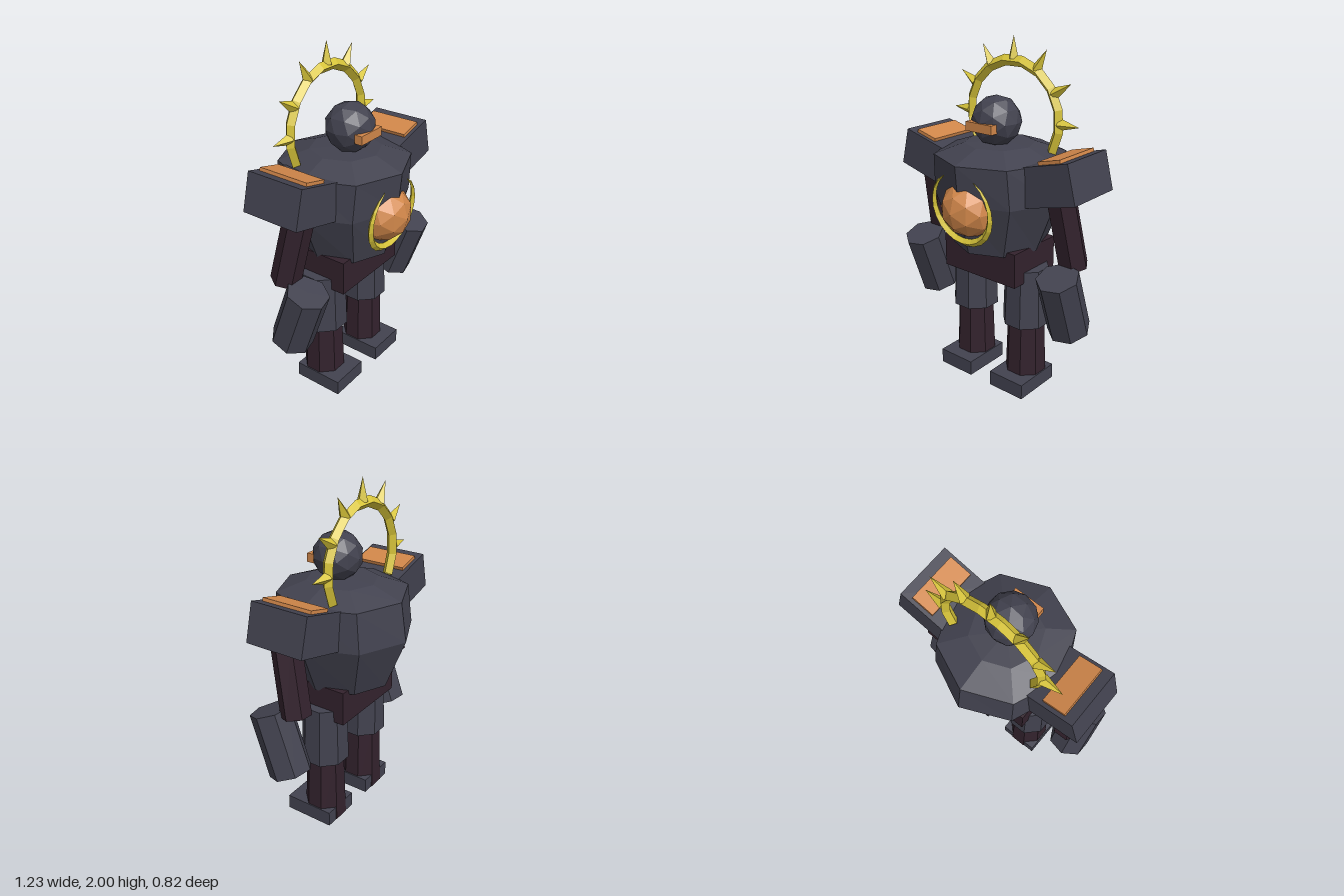
import * as THREE from 'three';

const mat = (name, color) => {
  const m = new THREE.MeshStandardMaterial({ color, flatShading: true });
  m.name = name;
  return m;
};

export function createModel() {
  const armour = mat('slate armour', 0x42424f);
  const under = mat('dark maroon', 0x33222d);
  const gold = mat('gold', 0xd8c53a);
  const copper = mat('copper', 0xd1874a);
  const model = new THREE.Group();
  model.name = 'armouredFigure';
  const V = (x, y, z) => new THREE.Vector3(x, y, z);

  const add = (name, geo, material, pos = [0, 0, 0], parent = model) => {
    const mesh = new THREE.Mesh(geo, material);
    mesh.name = name;
    mesh.position.set(...pos);
    parent.add(mesh);
    return mesh;
  };
  const box = (name, size, material, pos, parent) =>
    add(name, new THREE.BoxGeometry(...size), material, pos, parent);

  // Prism between two points, twisted about its own axis
  const limb = (name, top, bottom, rTop, rBottom, sides, twist, material) => {
    const dir = top.clone().sub(bottom);
    const geo = new THREE.CylinderGeometry(rTop, rBottom, dir.length(), sides);
    geo.rotateY(twist);
    const mesh = add(name, geo, material, top.clone().add(bottom).multiplyScalar(0.5).toArray());
    mesh.quaternion.setFromUnitVectors(V(0, 1, 0), dir.normalize());
    return mesh;
  };

  // Torso: eight-sided rings, with separate front and back depths [y, width, front, back]
  const rings = [[0.86, 0.26, 0.27, 0.29], [1.16, 0.38, 0.345, 0.41], [1.38, 0.365, 0.365, 0.375], [1.44, 0.2, 0.2, 0.2]];
  const profile = [new THREE.Vector2(0, 0.86), ...rings.map(r => new THREE.Vector2(1, r[0])), new THREE.Vector2(0, 1.45)];
  const torso = new THREE.LatheGeometry(profile, 8);
  const p = torso.attributes.position;
  for (let i = 0; i < p.count; i++) {
    const ring = rings[(i % profile.length) - 1];
    if (!ring) continue;
    p.setX(i, p.getX(i) * ring[1]);
    p.setZ(i, p.getZ(i) * (p.getZ(i) > 0 ? ring[2] : ring[3]));
  }
  add('torso', torso, armour);
  box('pelvis', [0.515, 0.2, 0.36], under, [-0.005, 0.79, 0]);

  // Head and visor
  add('head', new THREE.IcosahedronGeometry(0.14, 1), armour, [0, 1.563, 0.03]);
  box('visor', [0.18, 0.05, 0.045], copper, [-0.005, 1.545, 0.151]);

  // Chest gem and the tapered wreath around it
  add('chestGem', new THREE.IcosahedronGeometry(0.165, 1), copper, [0, 1.125, 0.245]);
  const arc = THREE.MathUtils.degToRad(296);
  const wreathGeo = new THREE.TorusGeometry(0.2, 0.023, 4, 18, arc);
  const w = wreathGeo.attributes.position;
  for (let i = 0; i < w.count; i++) {
    const t = (i % 19) / 18;
    const k = Math.max(0.1, Math.pow(Math.sin(Math.PI * t), 0.6));
    const a = t * arc;
    const c = V(Math.cos(a) * 0.2, Math.sin(a) * 0.2, 0);
    const v = V().fromBufferAttribute(w, i).sub(c).multiplyScalar(k).add(c);
    w.setXYZ(i, v.x, v.y, v.z);
  }
  wreathGeo.rotateZ(-Math.PI / 2 - arc / 2);
  add('wreath', wreathGeo, gold, [-0.005, 1.135, 0.316]).rotation.x = 0.11;

  // Halo with seven spikes
  const halo = new THREE.Group();
  halo.name = 'halo';
  halo.position.set(-0.005, 1.56, -0.12);
  model.add(halo);
  const haloArc = THREE.MathUtils.degToRad(240);
  const haloGeo = new THREE.TorusGeometry(0.31, 0.031, 4, 11, haloArc);
  haloGeo.rotateZ(Math.PI / 2 - haloArc / 2);
  gold.side = THREE.DoubleSide;
  add('haloRing', haloGeo, gold, [0, 0, 0], halo);
  for (let i = 0; i < 7; i++) {
    const a = (i * Math.PI) / 6;
    const spike = add('haloSpike', new THREE.ConeGeometry(0.034, 0.125, 4), gold,
      [Math.cos(a) * 0.3775, Math.sin(a) * 0.3775, 0], halo);
    spike.rotation.z = a - Math.PI / 2;
  }

  for (const s of [-1, 1]) {
    const side = s > 0 ? 'left' : 'right';
    // Shoulder guard with copper plate on top
    const shoulder = new THREE.Group();
    shoulder.name = side + 'Shoulder';
    shoulder.position.set(s * 0.433, 1.31, -0.0125);
    shoulder.rotation.z = s * 0.25;
    model.add(shoulder);
    box(side + 'ShoulderGuard', [0.32, 0.217, 0.35], armour, [0, 0, 0], shoulder);
    box(side + 'ShoulderPlate', [0.14, 0.03, 0.305], copper, [s * 0.03, 0.112, 0], shoulder);

    // Arms
    limb(side + 'UpperArm', V(s * 0.45, 1.23, 0.045), V(s * 0.485, 0.82, -0.04), 0.083, 0.085, 6, Math.PI / 6, under);
    limb(side + 'Forearm', V(s * 0.497, 0.81, 0.125), V(s * 0.497, 0.457, 0), 0.12, 0.122, 7, -0.22, armour);

    // Legs
    const x = s * 0.195 - 0.005;
    limb(side + 'Thigh', V(x, 0.755, -0.01), V(x, 0.405, -0.01), 0.128, 0.14, 8, Math.PI / 8, armour);
    limb(side + 'Shin', V(x, 0.42, -0.01), V(x, 0.003, -0.01), 0.11, 0.124, 8, Math.PI / 8, under);
    box(side + 'Foot', [0.238, 0.09, 0.3], armour, [x, 0.045, 0.03]);
  }
  return model;
}
